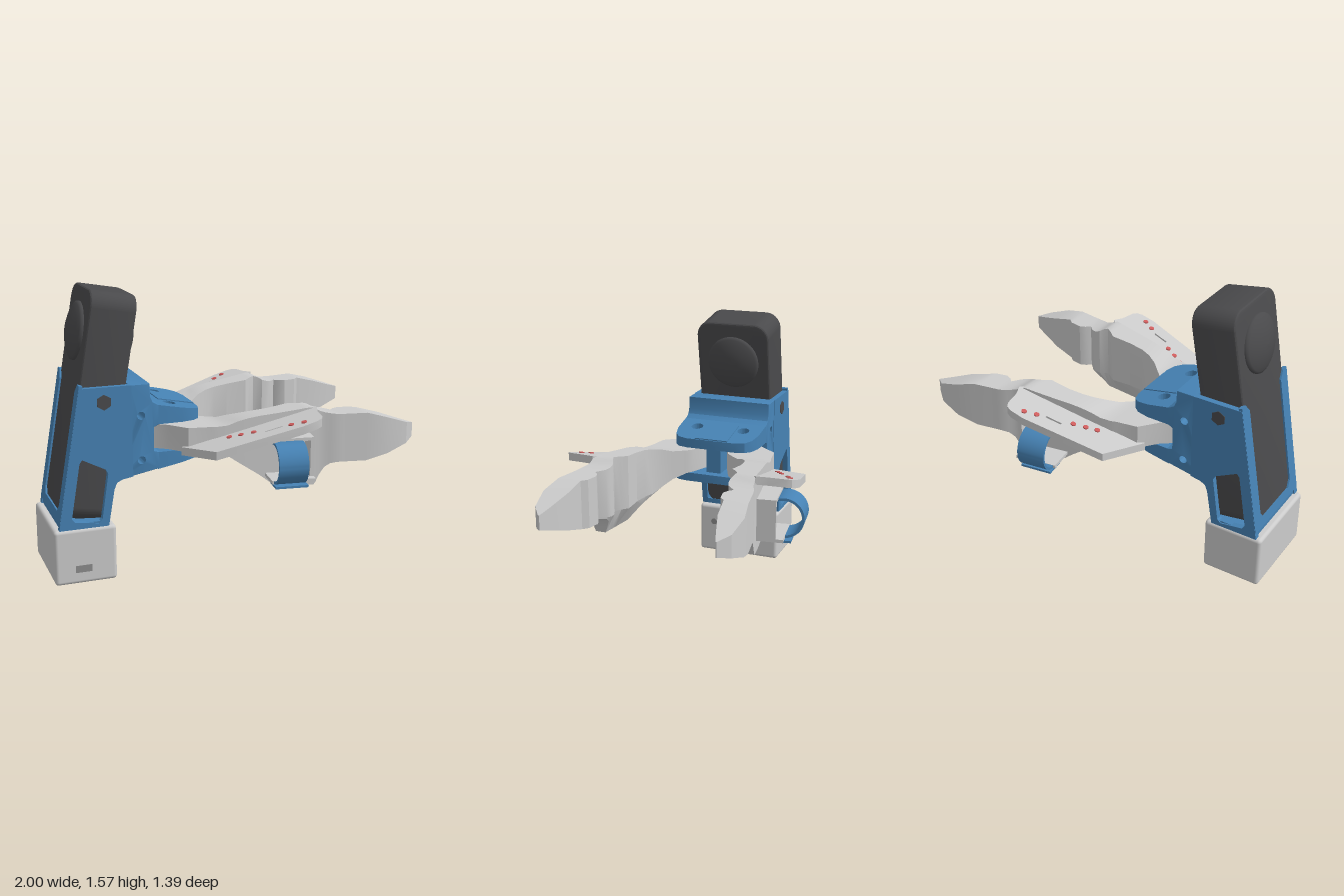
import * as THREE from 'three';
import { toCreasedNormals } from 'three/addons/utils/BufferGeometryUtils.js';
import { RoundedBoxGeometry } from 'three/addons/geometries/RoundedBoxGeometry.js';

const mat = (color) => new THREE.MeshStandardMaterial({ color, side: THREE.DoubleSide });

export function createModel() {
  const model = new THREE.Group();
  const grey = mat(0xcccccc), blue = mat(0x4682b4), dark = mat(0x4a4a4c), red = mat(0xcd5c5c), shade = mat(0x8c8c8c);

  const add = (parent, name, geo, material, x = 0, y = 0, z = 0) => {
    const m = new THREE.Mesh(geo, material);
    m.name = name;
    m.position.set(x, y, z);
    parent.add(m);
    return m;
  };
  const poly = (pts) => new THREE.Shape(pts.map((p) => new THREE.Vector2(p[0], p[1])));
  const hole = (shape, x, y, r) => shape.holes.push(new THREE.Path().absarc(x, y, r, 0, Math.PI * 2, true));
  const extrude = (shape, depth, bevel = 0) => toCreasedNormals(new THREE.ExtrudeGeometry(shape, {
    depth: depth - 2 * bevel, bevelEnabled: bevel > 0, bevelSize: bevel, bevelThickness: bevel,
    bevelOffset: -bevel, bevelSegments: 3, curveSegments: 16,
  }).translate(0, 0, -depth / 2 + bevel), 0.5);
  const roundRect = (w, y0, y1, r) => {
    const h = w / 2;
    return new THREE.Shape().moveTo(h - r, y0).absarc(h - r, y0 + r, r, -Math.PI / 2, 0)
      .absarc(h - r, y1 - r, r, 0, Math.PI / 2).absarc(-h + r, y1 - r, r, Math.PI / 2, Math.PI)
      .absarc(-h + r, y0 + r, r, Math.PI, Math.PI * 1.5);
  };
  // Plan outline (x, z) given thickness between two heights that vary with x
  const slab = (shape, lo, hi) => {
    const g = new THREE.ExtrudeGeometry(shape, { depth: 1, bevelEnabled: false, curveSegments: 16 })
      .rotateX(Math.PI / 2);
    const p = g.attributes.position;
    for (let i = 0; i < p.count; i++) {
      const x = p.getX(i);
      p.setY(i, p.getY(i) > -0.5 ? hi(x) : lo(x));
    }
    return toCreasedNormals(g, 0.5);
  };

  // Base box with screws and port
  add(model, 'base', new RoundedBoxGeometry(0.34, 0.31, 0.52, 3, 0.02), grey, -0.83, 0.155, 0);
  for (const s of [-1, 1]) {
    add(model, 'baseScrew', new THREE.CylinderGeometry(0.02, 0.02, 0.006, 16).rotateZ(Math.PI / 2), shade, -0.662, 0.2, s * 0.165);
    for (const x of [-0.94, -0.72])
      add(model, 'bottomScrew', new THREE.CylinderGeometry(0.018, 0.018, 0.004, 16), shade, x, 0.002, s * 0.2);
  }
  add(model, 'port', new THREE.BoxGeometry(0.09, 0.04, 0.004), shade, -0.845, 0.085, 0.26);

  // Leaning dark body with a shallow dome on both broad faces
  const body = new THREE.Group();
  body.name = 'body';
  body.position.set(-0.835, 0.31, 0);
  body.rotation.z = -0.17;
  model.add(body);
  add(body, 'bodyShell', extrude(roundRect(0.45, 0.02, 1.255, 0.09), 0.25, 0.015).rotateY(Math.PI / 2), dark);
  const domePts = [[0.158, 0], [0.157, 0.012], [0.145, 0.02], [0.12, 0.032], [0.08, 0.045], [0.04, 0.052], [0, 0.054]];
  const dome = new THREE.LatheGeometry(domePts.map((p) => new THREE.Vector2(p[0], p[1])), 40);
  for (const s of [-1, 1]) add(body, 'dome', dome, dark, s * 0.125, 1.015, 0).rotation.z = -s * Math.PI / 2;

  // Rear frame of the sleeve, open at the top
  const rear = poly([[-0.255, 0.01], [0.255, 0.01], [0.255, 0.765], [0.215, 0.765], [0.18, 0.72], [0.18, 0.1],
    [0.15, 0.06], [-0.15, 0.06], [-0.18, 0.1], [-0.18, 0.72], [-0.215, 0.765], [-0.255, 0.765]]);
  add(body, 'sleeveRear', extrude(rear, 0.02).rotateY(Math.PI / 2), blue, -0.125, 0, 0);

  // Sleeve sides with slanted windows and hex bolts
  const side = poly([[-0.97, 0.31], [-0.7, 0.31], [-0.665, 0.51], [-0.65, 0.545], [-0.62, 0.56],
    [-0.56, 0.57], [-0.56, 1.07], [-0.84, 1.07]]);
  side.holes.push(new THREE.Path([[-0.85, 0.67], [-0.835, 0.69], [-0.71, 0.625], [-0.697, 0.6], [-0.735, 0.35],
    [-0.755, 0.33], [-0.885, 0.35], [-0.9, 0.37]].map((p) => new THREE.Vector2(p[0], p[1]))));
  for (const s of [-1, 1]) {
    add(model, 'sleeveSide', extrude(side, 0.035), blue, 0, 0, s * 0.24);
    add(model, 'hexBolt', new THREE.CylinderGeometry(0.042, 0.042, 0.01, 6).rotateX(Math.PI / 2), dark, -0.71, 0.99, s * 0.256);
  }
  add(model, 'sleeveFloor', new THREE.BoxGeometry(0.26, 0.03, 0.5), blue, -0.83, 0.325, 0);

  // Bracket block that closes the sleeve front, with cross holes
  const block = poly([[-0.57, 1.07], [-0.46, 1.07], [-0.458, 1.0], [-0.445, 0.97], [-0.41, 0.95], [-0.41, 0.845],
    [-0.44, 0.83], [-0.44, 0.7], [-0.41, 0.69], [-0.41, 0.6], [-0.62, 0.562], [-0.65, 0.545], [-0.66, 0.53]]);
  for (const y of [0.9, 0.655]) hole(block, -0.51, y, 0.026);
  add(model, 'bracketBlock', extrude(block, 0.51, 0.004), blue);

  // Upper and lower pivot plates joined by a web
  const plan = poly([[-0.42, -0.255], [-0.28, -0.252], [-0.21, -0.235], [-0.175, -0.205], [-0.16, -0.15],
    [-0.16, 0.15], [-0.175, 0.205], [-0.21, 0.235], [-0.28, 0.252], [-0.42, 0.255]]);
  for (const s of [-1, 1]) hole(plan, -0.32, s * 0.145, 0.035);
  const top = (x) => 0.9 - (x + 0.16) * 0.2;
  add(model, 'upperPlate', slab(plan, () => 0.845, top), blue);
  add(model, 'upperPad', slab(poly([[-0.37, -0.1], [-0.165, -0.1], [-0.165, 0.1], [-0.37, 0.1]]), () => 0.85, (x) => top(x) + 0.006), blue);
  add(model, 'lowerPlate', slab(plan, (x) => 0.64 + (x + 0.16) * 0.17, () => 0.69), blue);
  add(model, 'web', new THREE.BoxGeometry(0.24, 0.2, 0.09), blue, -0.33, 0.77, 0);

  // Finger stations: x, inner z, outer z, bottom y, top y
  const stations = [
    [-0.44, 0.06, 0.19, 0.7, 0.835], [-0.36, 0.06, 0.25, 0.7, 0.835], [-0.28, 0.06, 0.35, 0.7, 0.835],
    [-0.16, 0.11, 0.37, 0.7, 0.835], [-0.13, 0.14, 0.38, 0.695, 0.835], [-0.07, 0.2, 0.39, 0.67, 0.84],
    [-0.02, 0.245, 0.4, 0.635, 0.86], [0.04, 0.28, 0.41, 0.595, 0.875], [0.1, 0.3, 0.42, 0.555, 0.885],
    [0.19, 0.31, 0.435, 0.485, 0.895], [0.31, 0.305, 0.455, 0.48, 0.91], [0.345, 0.335, 0.46, 0.48, 0.915],
    [0.38, 0.357, 0.465, 0.48, 0.918], [0.405, 0.35, 0.467, 0.48, 0.91], [0.43, 0.337, 0.47, 0.53, 0.895],
    [0.46, 0.338, 0.475, 0.575, 0.885], [0.49, 0.35, 0.487, 0.598, 0.88], [0.53, 0.393, 0.5, 0.605, 0.875],
    [0.555, 0.37, 0.504, 0.605, 0.875], [0.59, 0.356, 0.51, 0.605, 0.875], [0.66, 0.37, 0.523, 0.605, 0.875],
    [0.69, 0.398, 0.528, 0.605, 0.875], [0.81, 0.412, 0.55, 0.64, 0.842], [0.935, 0.45, 0.53, 0.68, 0.8],
    [1, 0.472, 0.478, 0.7, 0.78],
  ];
  const N = 6, verts = [], index = [];
  stations.forEach(([x, zi, zo, yb, yt], i) => {
    const t = Math.max(0, Math.min(1, (0.605 - yb) / 0.125));
    const mid = Math.max(0.605, yb + 0.01), low = THREE.MathUtils.lerp(zi, zo - 0.06, t);
    for (const [z, y] of [[zi, yt], [zo, yt], [zo, mid], [zo, yb], [low, yb], [zi, mid]]) verts.push(x, y, z);
    if (i === 0) return;
    for (let k = 0; k < N; k++) {
      const a = (i - 1) * N + k, b = (i - 1) * N + (k + 1) % N;
      index.push(a, b, b + N, a, b + N, a + N);
    }
  });
  const last = (stations.length - 1) * N;
  for (let k = 1; k < N - 1; k++) index.push(0, k + 1, k, last, last + k, last + k + 1);
  let fingerGeo = new THREE.BufferGeometry();
  fingerGeo.setAttribute('position', new THREE.Float32BufferAttribute(verts, 3));
  fingerGeo.setIndex(index);
  fingerGeo = toCreasedNormals(fingerGeo, 0.45);

  // Sloped hand plate with a thin slot
  const hand = poly([[-0.31, 0.32], [0.36, 0.42], [0.41, 0.47], [0.385, 0.53], [0.37, 0.62], [0.355, 0.648],
    [0.325, 0.66], [0.245, 0.66], [-0.2, 0.565]]);
  hand.holes.push(new THREE.Path([[0.08, 0.535], [0.17, 0.55], [0.17, 0.562], [0.08, 0.547]].map((p) => new THREE.Vector2(p[0], p[1]))));
  const handTop = (x) => 0.755 + (x + 0.2) * 0.27;
  const handGeo = slab(hand, (x) => handTop(x) - 0.045, handTop);

  // Open C-shaped strap section with a flat tail
  const strap = new THREE.Shape().absarc(0, 0, 0.112, -1.75, 1.9, false).absarc(0, 0, 0.098, 1.9, -1.75, true);

  for (const s of [1, -1]) {
    const f = new THREE.Group();
    f.name = s > 0 ? 'leftGripper' : 'rightGripper';
    f.scale.z = s;
    model.add(f);
    add(f, 'finger', fingerGeo, grey);
    add(f, 'handPlate', handGeo, grey);
    for (const [x, z] of [[-0.08, 0.435], [-0.025, 0.463], [0.035, 0.493], [0.21, 0.583], [0.27, 0.613]])
      add(f, 'redDot', new THREE.CylinderGeometry(0.015, 0.015, 0.012, 12), red, x, handTop(x), z).rotation.z = 0.26;

    // Strap holder frame and strap, following the outer wall
    const h = new THREE.Group();
    h.name = 'strapHolder';
    h.position.set(0.25, 0.66, 0.45);
    h.rotation.y = -0.14;
    f.add(h);
    add(h, 'holderBottom', new THREE.BoxGeometry(0.24, 0.018, 0.16), grey, 0, -0.105, 0.06);
    add(h, 'holderTop', new THREE.BoxGeometry(0.24, 0.018, 0.12), grey, 0, 0.112, 0.04);
    add(h, 'holderEnd', new THREE.BoxGeometry(0.02, 0.22, 0.12), grey, 0.11, 0.003, 0.04);
    add(h, 'strap', extrude(strap, 0.16).rotateY(-Math.PI / 2), blue, -0.03, 0, 0.13);
    add(h, 'strapTail', new THREE.BoxGeometry(0.18, 0.012, 0.11), blue, -0.02, -0.125, 0.12);
  }
  return model;
}
